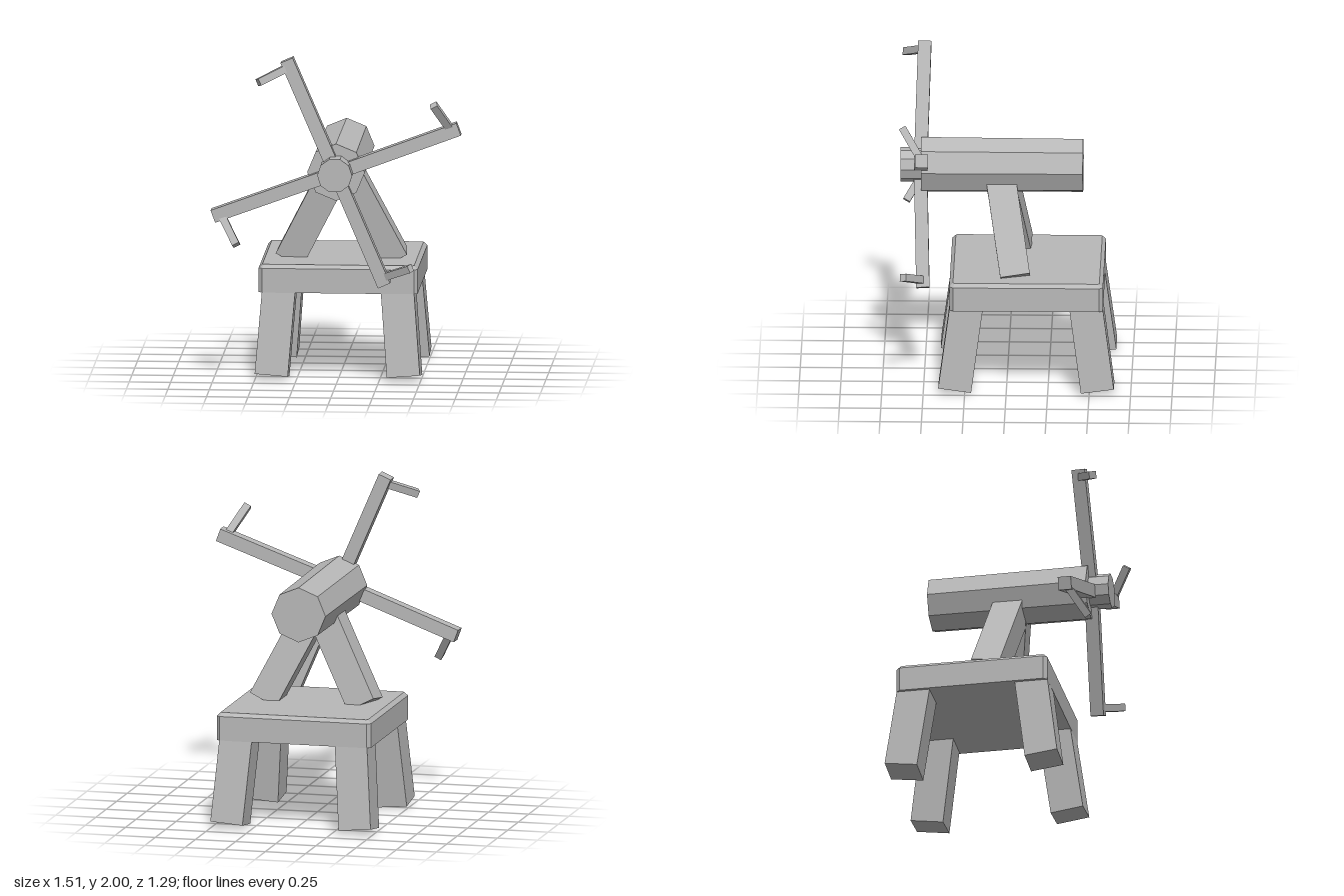
import * as THREE from 'three';
import { ConvexGeometry } from 'three/addons/geometries/ConvexGeometry.js';

const grey = new THREE.MeshStandardMaterial({ color: 0xb8b8b8 });
grey.name = 'plain grey';

const v = (x, y, z) => new THREE.Vector3(x, y, z);

function part(name, geometry) {
  const mesh = new THREE.Mesh(geometry, grey);
  mesh.name = name;
  return mesh;
}

// square-ended bar from a to b; "height" is measured towards "up"
function beam(name, a, b, width, height, up = v(0, 0, 1)) {
  const mesh = part(name, new THREE.BoxGeometry(width, height, a.distanceTo(b)));
  mesh.position.copy(a).lerp(b, 0.5);
  mesh.up.copy(up);
  mesh.lookAt(b);
  return mesh;
}

// faceted cylinder along z, with hard edges
function drum(name, rFront, rBack, zBack, zFront, sides, turn) {
  const g = new THREE.CylinderGeometry(rFront, rBack, zFront - zBack, sides, 1, false, turn)
    .rotateX(Math.PI / 2).toNonIndexed();
  g.computeVertexNormals();
  const mesh = part(name, g);
  mesh.position.set(0, 1.3, (zFront + zBack) / 2);
  return mesh;
}

// slab with clipped corners and a chamfered top edge
function slab(name, hx, hz, y0, y1, c) {
  const points = [];
  for (const [y, inset] of [[y0, 0], [y1 - c, 0], [y1, c]]) {
    for (const sx of [-1, 1]) for (const sz of [-1, 1]) {
      points.push(v(sx * (hx - inset), y, sz * (hz - c - inset * 0.4)));
      points.push(v(sx * (hx - c - inset * 0.4), y, sz * (hz - inset)));
    }
  }
  return part(name, new ConvexGeometry(points));
}

export function createModel() {
  const model = new THREE.Group();
  model.name = 'wheel on stool';

  // stool: slab on four splayed legs
  const stool = new THREE.Group();
  stool.name = 'stool';
  stool.position.z = -0.12;
  stool.add(slab('seat', 0.48, 0.463, 0.53, 0.7, 0.022));
  for (const sx of [-1, 1]) for (const sz of [-1, 1]) {
    stool.add(beam('leg', v(sx * 0.354, 0.6, sz * 0.352), v(sx * 0.4, 0.023, sz * 0.43), 0.2, 0.2));
  }
  model.add(stool);

  // leaning struts under the barrel
  for (const s of [-1, 1]) {
    model.add(beam('strut', v(s * 0.31, 0.69, -0.052), v(s * 0.04, 1.22, 0.04), 0.18, 0.18));
  }

  // barrel and hub
  model.add(drum('barrel', 0.174, 0.168, -0.455, 0.52, 8, 0));
  model.add(drum('hub', 0.105, 0.105, 0.48, 0.645, 10, Math.PI / 10));

  // four spokes with a peg bent forward and sideways from each tip
  const wheel = new THREE.Group();
  wheel.name = 'wheel';
  for (const [deg, length, lean] of [[20.3, 0.79, 0.035], [113.5, 0.745, 0], [200.3, 0.79, 0.035], [293, 0.745, 0]]) {
    const a = THREE.MathUtils.degToRad(deg);
    const out = v(Math.cos(a), Math.sin(a), 0);
    const side = v(-Math.sin(a), Math.cos(a), 0);
    const at = (r, t, z) => v(0, 1.3, z).addScaledVector(out, r).addScaledVector(side, t);
    wheel.add(beam('spoke', at(0, 0, 0.525), at(length, 0, 0.505), 0.08, 0.08));
    wheel.add(beam('peg', at(length - 0.046, 0, 0.505), at(length - 0.046 - lean, 0.2, 0.622), 0.045, 0.045, out));
  }
  model.add(wheel);

  return model;
}
